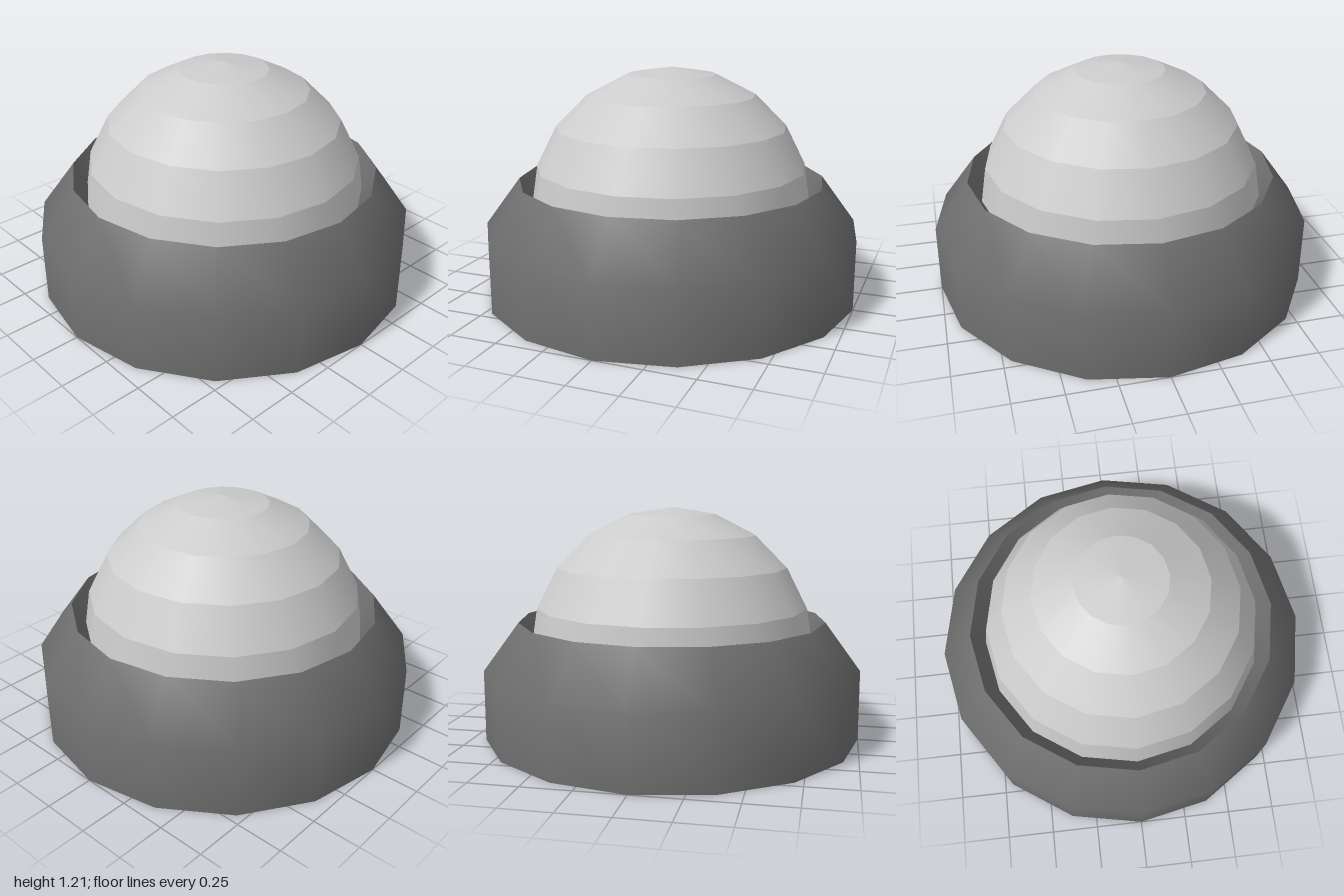
import * as THREE from 'three';
import { mergeGeometries } from 'three/addons/utils/BufferGeometryUtils.js';

const SIDES = 16;

// Revolves each chain of [radius, y] points; edges between chains stay sharp
function revolve(name, color, chains) {
  const parts = chains.map((chain) =>
    new THREE.LatheGeometry(chain.map(([r, y]) => new THREE.Vector2(r, y)), SIDES));
  const mesh = new THREE.Mesh(mergeGeometries(parts), new THREE.MeshStandardMaterial({ color }));
  mesh.name = name;
  return mesh;
}

export function createModel() {
  const group = new THREE.Group();
  group.name = 'domeButton';

  // Housing: closed bottom, bevelled outer wall, sloped recess around the dome
  group.add(revolve('base', 0x6e6e6e, [
    [[0, 0], [1, 0]],
    [[1, 0], [1, 0.37], [0.815, 0.62]],
    [[0.815, 0.62], [0.745, 0.5]],
    [[0.745, 0.5], [0, 0.5]],
  ]));

  // Dome: banded hemisphere seated in the recess
  const radius = 0.755, centreY = 0.457, steps = 5;
  const ring = (i) => {
    const a = (i / steps) * Math.PI / 2;
    return [i === steps ? 0 : radius * Math.cos(a), centreY + radius * Math.sin(a)];
  };
  const bands = [];
  for (let i = 0; i < steps; i++) bands.push([ring(i), ring(i + 1)]);
  group.add(revolve('dome', 0xcccccc, bands));

  return group;
}
